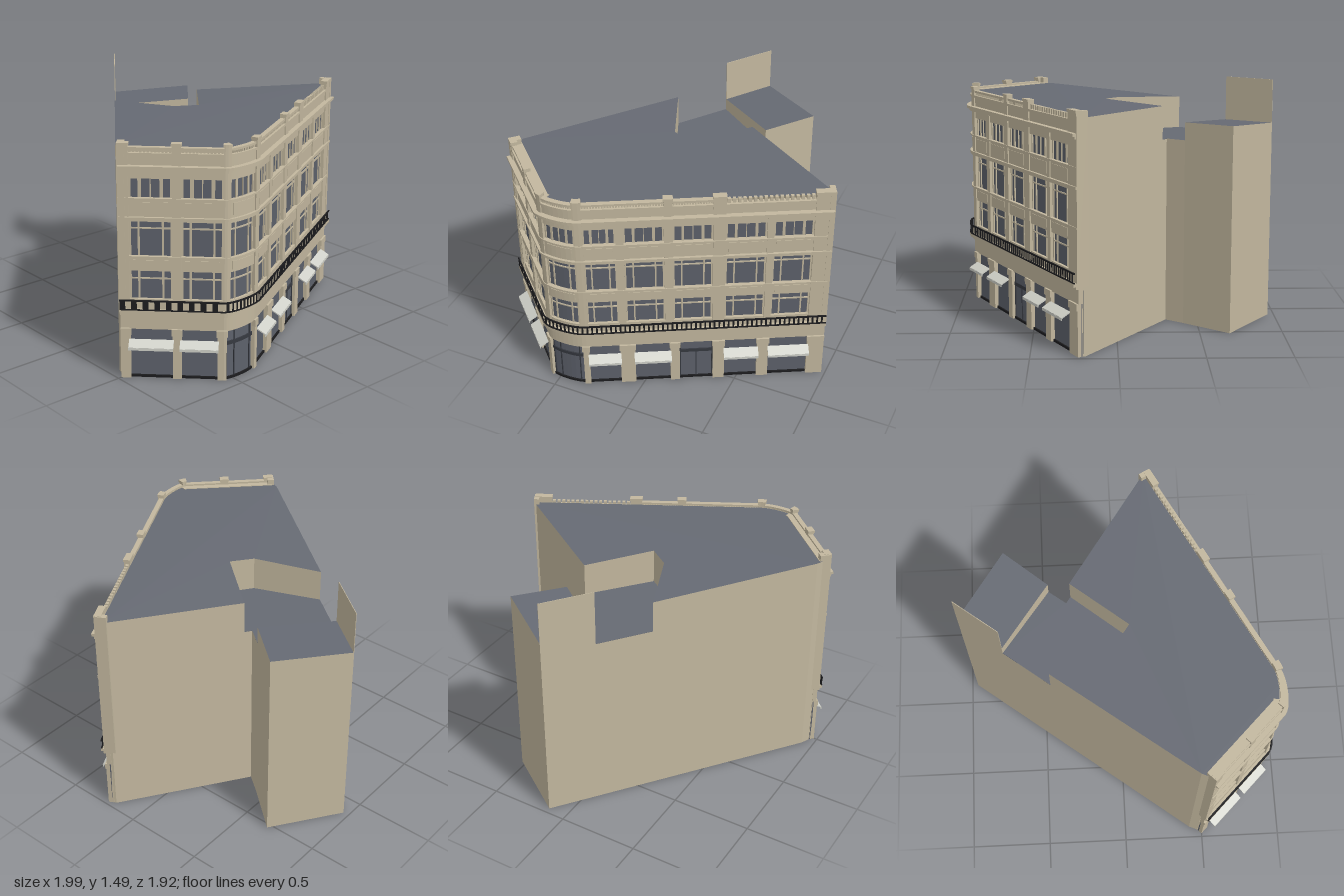
import * as THREE from 'three';
import { mergeGeometries } from 'three/addons/utils/BufferGeometryUtils.js';

const material = (name, color, side = THREE.FrontSide) => {
  const m = new THREE.MeshStandardMaterial({ color, side });
  m.name = name;
  return m;
};
const stone = material('stone', 0xc2b79e, THREE.DoubleSide);
const slate = material('roof slate', 0x666a73, THREE.DoubleSide);
const glass = material('window glass', 0x5d616b);
const iron = material('black iron', 0x1c1c1e);
const frame = material('dark door frame', 0x363940);
const canvas = material('awning canvas', 0xd0d1c9);

// Street line of the facade in plan (x, z): straight, rounded corner, straight
const corner = new THREE.CubicBezierCurve(
  new THREE.Vector2(-0.56, 0.91), new THREE.Vector2(-0.535, 0.935),
  new THREE.Vector2(-0.38, 0.94), new THREE.Vector2(-0.31, 0.903));
const street = [new THREE.Vector2(-0.975, 0.495), ...corner.getPoints(10), new THREE.Vector2(0.975, 0.222)];
const X0 = -0.975, X1 = 0.975;

function segmentAt(x) {
  let i = 0;
  while (i < street.length - 2 && x > street[i + 1].x) i++;
  return [street[i], street[i + 1]];
}
function normalAt(x) {
  const [a, b] = segmentAt(x);
  return new THREE.Vector2(a.y - b.y, b.x - a.x).normalize();
}
// Points along the street line from x0 to x1, pushed outwards by off
function offsetLine(x0, x1, off, drop = 0) {
  const xs = [x0, ...street.map(p => p.x).filter(x => x > x0 + 1e-4 && x < x1 - 1e-4), x1];
  return xs.map(x => {
    const [a, b] = segmentAt(x);
    const z = a.y + (b.y - a.y) * (x - a.x) / (b.x - a.x);
    const n = normalAt(x - 1e-4).add(normalAt(x + 1e-4)).normalize();
    return [x + n.x * off, z + n.y * off, drop];
  });
}

// Vertical prism over a plan outline; top is a height or a function of (x, z).
// With open set it has no floor and no wall on its closing edge.
function prism(outline, y0, top, { open = false, roof = true } = {}) {
  let pts = outline;
  let plan = pts.map(p => new THREE.Vector2(p[0], -p[1]));
  if (THREE.ShapeUtils.isClockWise(plan)) {
    pts = [...pts].reverse();
    plan = [...plan].reverse();
  }
  const low = pts.map(p => [p[0], y0 - (p[2] || 0), p[1]]);
  const high = pts.map(p => [p[0], (typeof top === 'function' ? top(p[0], p[1]) : top) - (p[2] || 0), p[1]]);
  const lid = [], sides = [];
  for (const [a, b, c] of THREE.ShapeUtils.triangulateShape(plan, [])) {
    if (roof) lid.push(...high[a], ...high[b], ...high[c]);
    if (!open) sides.push(...low[c], ...low[b], ...low[a]);
  }
  pts.forEach((_, i) => {
    const j = (i + 1) % pts.length;
    if (open && j === 0) return;
    sides.push(...low[i], ...low[j], ...high[j], ...low[i], ...high[j], ...high[i]);
  });
  const g = new THREE.BufferGeometry();
  g.setAttribute('position', new THREE.Float32BufferAttribute([...lid, ...sides], 3));
  g.addGroup(0, lid.length / 3, 0);
  g.addGroup(lid.length / 3, sides.length / 3, 1);
  g.computeVertexNormals();
  return g;
}
// Band following the street line, between two offsets and two heights
const band = (x0, x1, y0, y1, inner, outer, drop = 0) =>
  prism([...offsetLine(x0, x1, outer, drop), ...offsetLine(x0, x1, inner).reverse()], y0, y1);

export function createModel() {
  const group = new THREE.Group();
  const add = (name, mat, geos) => {
    const mesh = new THREE.Mesh(geos.length > 1 ? mergeGeometries(geos) : geos[0], mat);
    mesh.name = name;
    group.add(mesh);
  };

  // Hollow building shell up to the roof court; the long street front stays open behind its windows
  const roofed = [slate, stone];
  const backStreet = offsetLine(X0, X1, -0.03);
  const rightEnd = [backStreet.pop(), [0.955, 0.183]];
  const leftEnd = [[-0.93, 0.42], ...backStreet];
  const court = [[0.27, -0.283], [-0.01, 0.06], [-0.135, -0.03], [-0.29, -0.42]];
  const rear = [[0.31, -0.415], [0.53, -0.68], [0.125, -0.963], [-0.076, -0.7]];
  add('lowerWalls', stone, [prism([...rightEnd, [0.23, -0.31], ...rear, ...leftEnd], 0, 1.14,
    { open: true, roof: false })]);

  // Main roof, sunken court, rear block and its thin screen wall
  add('mainRoof', roofed, [prism([...rightEnd, ...court, ...leftEnd], 1.14,
    (x, z) => Math.min(1.362, 1.354 + 0.04 * z), { open: true })]);
  add('roofCourt', slate, [prism([...court, rear[3], rear[0], [0.23, -0.31]], 1.138, 1.14)]);
  add('rearBlock', roofed, [prism([rear[3], ...rear.slice(0, 3), rear[3]], 1.14,
    (x, z) => 1.226 + 0.06 * (x - 0.12) + 0.03 * (z + 0.8), { open: true })]);
  add('rearScreenWall', stone, [prism([rear[3], [-0.073, -0.698], [0.128, -0.961], rear[2]], 1.14, 1.487)]);

  // Window bays as x ranges, and the solid piers between them
  const bays = [[-0.935, -0.765], [-0.73, -0.565], [-0.53, -0.34], [-0.295, -0.13],
    [-0.09, 0.115], [0.16, 0.365], [0.43, 0.64], [0.675, 0.88]];
  const shops = [[-0.935, -0.765], [-0.73, -0.585], [-0.548, -0.33], [-0.297, -0.13],
    [-0.05, 0.14], [0.19, 0.37], [0.432, 0.61], [0.672, 0.885]];
  const gaps = list => [X0, ...list.flat(), X1].reduce(
    (out, x, i, all) => (i % 2 ? [...out, [all[i - 1], x]] : out), []);
  const piers = gaps(bays);

  // Glass behind every floor
  add('glazing', glass, [[0, 0.31], [0.48, 0.67], [0.74, 0.96], [1.08, 1.21]]
    .map(([a, b]) => band(X0, X1, a, b, -0.026, -0.018)));

  // Solid wall bands between the floors
  add('spandrels', stone, [[0.305, 0.49], [0.66, 0.745], [0.955, 1.088], [1.2, 1.345]]
    .map(([a, b]) => band(X0, X1, a, b, -0.029, 0)));
  add('spandrelPanels', stone, bays.flatMap(([a, b]) => [
    band(a + 0.015, b - 0.015, 0.995, 1.065, 0, 0.003),
    band(a + 0.015, b - 0.015, 0.675, 0.725, 0, 0.003)]));

  // Piers and shopfront pilasters
  add('piers', stone, piers.map(([a, b]) => band(a, b, 0.41, 1.25, -0.028, 0.007)));
  add('pilasters', stone, gaps(shops).flatMap(([a, b]) => [
    band(a, b, 0, 0.31, -0.028, 0.006),
    band(Math.max(X0, a - 0.004), Math.min(X1, b + 0.004), 0.27, 0.31, -0.01, 0.012)]));
  add('endReturns', stone, [band(0.95, X1 + 0.004, 0.41, 1.4, -0.062, 0.01), band(X0 - 0.004, -0.95, 0.41, 1.4, -0.06, 0.01)]);

  // Sills, string courses and cornices: bottom, top, projection
  add('mouldings', stone, [[0.395, 0.41, 0.015], [0.41, 0.43, 0.03], [0.738, 0.75, 0.012], [0.955, 0.965, 0.01],
    [0.965, 0.98, 0.016], [1.08, 1.09, 0.012], [1.245, 1.26, 0.018], [1.26, 1.277, 0.032]]
    .map(([a, b, out]) => band(X0, X1, a, b, -0.01, out)));

  // Slim window mullions and transoms lying close to the glass
  const bars = [];
  for (const [a, b] of bays) {
    const upright = (f, w, y0, y1) => {
      const x = a + (b - a) * f;
      bars.push(band(x - w / 2, x + w / 2, y0, y1, -0.02, -0.011));
    };
    for (const f of [0.02, 0.22, 0.78, 0.98]) {
      upright(f, 0.008, 0.49, 0.66);
      upright(f, 0.008, 0.745, 0.955);
    }
    for (const [f, w] of [[0.02, 0.01], [0.25, 0.014], [0.5, 0.004], [0.75, 0.014], [0.98, 0.01]])
      upright(f, w, 1.085, 1.2);
    for (const y of [0.607, 0.905]) bars.push(band(a, b, y, y + 0.008, -0.02, -0.012));
  }
  add('windowBars', stone, bars);

  // Parapet: posts with caps, open balustrade, and a toothed stretch on the right
  const posts = piers.filter((_, i) => i !== 4 && i !== 7);
  add('parapetPosts', stone, posts.flatMap(([a, b]) => [
    band(a, b, 1.275, 1.39, -0.03, 0.008),
    band(Math.max(X0, a - 0.003), Math.min(X1, b + 0.003), 1.387, 1.402, -0.03, 0.012)]));
  const balusters = [], rails = [];
  for (let i = 0; i < posts.length - 1; i++) {
    const a = posts[i][1], b = posts[i + 1][0], toothed = i === posts.length - 2;
    const n = Math.round((b - a) / (toothed ? 0.026 : 0.014));
    for (let k = 0; k < n; k++) {
      const x = a + (b - a) * (k + 0.5) / n, w = (b - a) / n * 0.3;
      balusters.push(band(x - w, x + w, 1.34, toothed ? 1.375 : 1.366, -0.025, -0.005));
    }
    if (!toothed) rails.push(band(a, b, 1.364, 1.377, -0.028, 0.002));
    rails.push(band(a, b, 1.333, 1.347, -0.028, 0.008));
  }
  add('parapetBalusters', stone, balusters);
  add('parapetRails', stone, rails);
  add('parapetGutter', stone, [band(-0.97, -0.52, 1.34, 1.366, -0.065, -0.02)]);

  // Iron balcony railing
  const railing = [band(X0, X1, 0.484, 0.493, 0.022, 0.03), band(X0, X1, 0.43, 0.436, 0.022, 0.03)];
  for (let x = X0 + 0.012; x < X1 - 0.01;) {
    const pitch = x < -0.56 ? 0.046 : 0.025;
    const half = pitch * (x < -0.56 ? 0.24 : 0.19);
    railing.push(band(x - half, x + half, 0.435, 0.486, 0.024, 0.028));
    x += pitch;
  }
  add('balconyRailing', iron, railing);

  // Shopfronts: plinths, door frames and awnings
  const awnings = [], doors = [], plinths = [];
  shops.forEach(([a, b], i) => {
    plinths.push(band(a, b, 0, 0.014, -0.02, -0.008));
    if (i === 2 || i === 5) {
      doors.push(band(a, b, 0.214, 0.236, -0.02, -0.01));
      for (const f of i === 2 ? [0.03, 0.28, 0.88] : [0.02, 0.5, 0.98]) {
        const x = a + (b - a) * f;
        doors.push(band(x - 0.003, x + 0.003, 0, f === 0.5 ? 0.214 : 0.3, -0.02, -0.012));
      }
    } else {
      awnings.push(band(a - 0.005, b + 0.005, 0.237, 0.245, 0.005, 0.06, 0.03));
      awnings.push(band(a - 0.005, b + 0.005, 0.198, 0.213, 0.056, 0.061));
    }
  });
  add('shopPlinths', iron, plinths);
  add('doorFrames', frame, doors);
  add('awnings', canvas, awnings);
  return group;
}
